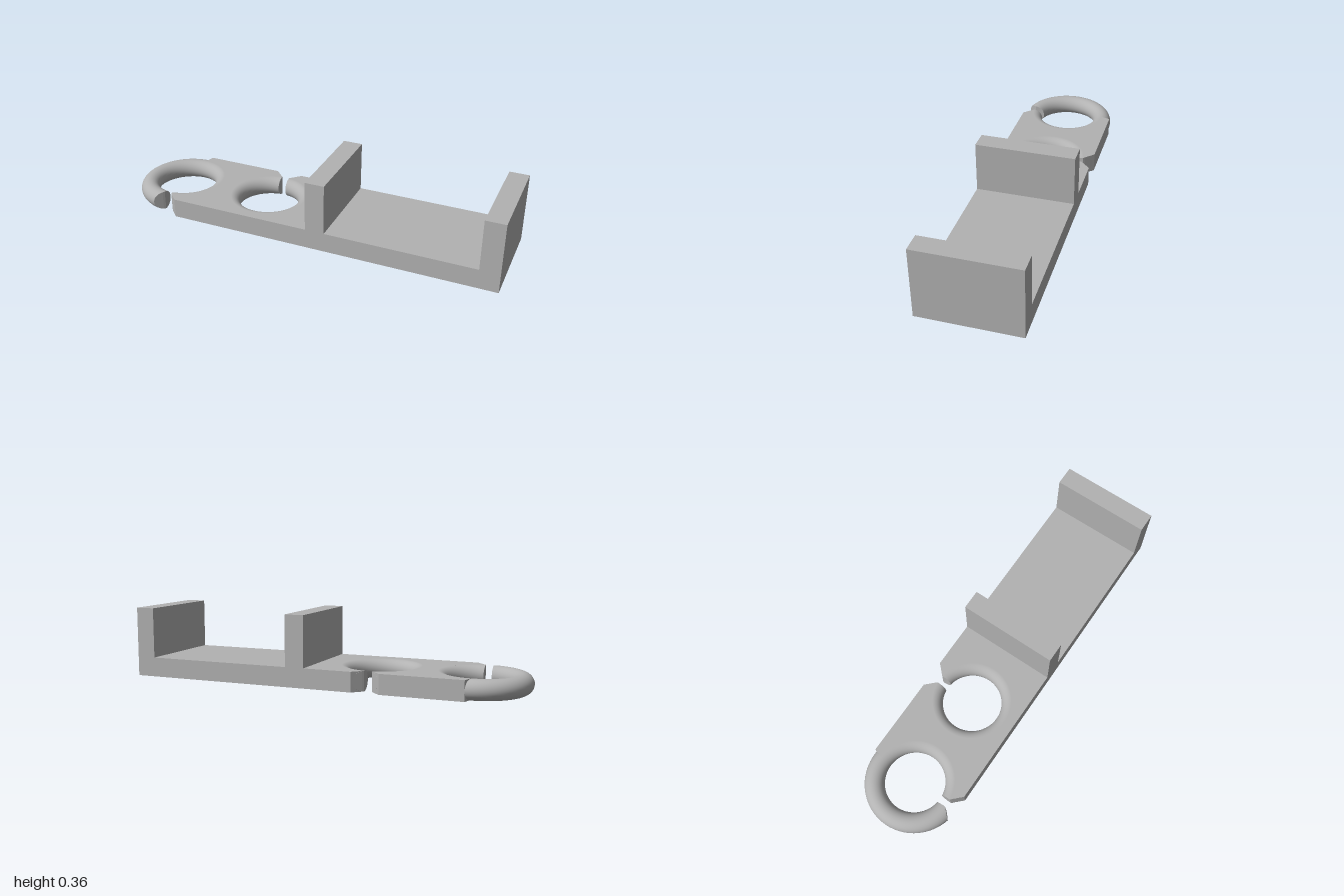
import * as THREE from 'three';

const R = 0.1985, T = 0.0495;           // ring centre-line and tube radius
const H = 2 * T, W = 0.248;             // plate thickness and half width
const RING_X = [-0.752, -0.262];        // ring centres
const GAP = 0.02, FLARE = 0.05;         // half gap, extra half width at the mouth

// Half width of the slot at distance d from the ring centre
const slot = (d) => GAP + Math.max(0, d - R) * FLARE / (W - R);

// Angle at which a circle of radius r meets the slot
function slotAngle(r) {
  let a = 0;
  for (let k = 0; k < 20; k++) a = Math.asin(slot(r * Math.cos(a)) / r);
  return a;
}

// Open ring whose ends follow the flared slot (slot faces +z)
function openRing(material) {
  const nA = 72, nT = 32, pos = [], index = [], caps = [];
  for (let i = 0; i <= nA; i++) {
    for (let j = 0; j < nT; j++) {
      const phi = j / nT * Math.PI * 2, r = R + T * Math.cos(phi);
      const a0 = slotAngle(r), a = a0 + (2 * Math.PI - 2 * a0) * i / nA;
      pos.push(r * Math.sin(a), T + T * Math.sin(phi), r * Math.cos(a));
    }
  }
  const id = (i, j) => i * nT + (j + nT) % nT;
  for (let i = 0; i < nA; i++) {
    for (let j = 0; j < nT; j++) {
      const a = id(i, j), b = id(i + 1, j), c = id(i + 1, j + 1), d = id(i, j + 1);
      index.push(a, b, c, a, c, d);
    }
  }
  const tube = new THREE.BufferGeometry();
  tube.setAttribute('position', new THREE.Float32BufferAttribute(pos, 3));
  tube.setIndex(index);
  tube.computeVertexNormals();

  // End faces: strips joining each upper point to the one below it
  const add = (...ids) => ids.forEach((v) => caps.push(pos[3 * v], pos[3 * v + 1], pos[3 * v + 2]));
  for (let j = 0; j < nT / 2; j++) {
    for (const i of [0, nA]) {
      const t0 = id(i, j), t1 = id(i, j + 1), b0 = id(i, -j), b1 = id(i, -j - 1);
      if (i === 0) add(b1, b0, t0, b1, t0, t1);
      else add(b1, t0, b0, b1, t1, t0);
    }
  }
  const ends = new THREE.BufferGeometry();
  ends.setAttribute('position', new THREE.Float32BufferAttribute(caps, 3));
  ends.computeVertexNormals();

  const ring = new THREE.Group();
  const tubeMesh = new THREE.Mesh(tube, material);
  tubeMesh.name = 'ringTube';
  const endMesh = new THREE.Mesh(ends, material);
  endMesh.name = 'ringEnds';
  ring.add(tubeMesh, endMesh);
  return ring;
}

// Points on a ring centre-line, angle measured from +x towards +z
function arc(cx, from, to, n) {
  return Array.from({ length: n + 1 }, (_, k) => {
    const a = from + (to - from) * k / n;
    return [cx + R * Math.cos(a), R * Math.sin(a)];
  });
}

export function createModel() {
  const grey = new THREE.MeshStandardMaterial({ color: 0xb2b2b2 });
  grey.name = 'plainGrey';
  const model = new THREE.Group();
  model.name = 'clipBracket';

  // Flat plate, cut out along both ring centre-lines
  const [c1, c2] = RING_X, g = slotAngle(R), q = Math.PI / 2, m = GAP + FLARE;
  const outline = [
    [c1 + 0.015, -W], [c2 - m, -W],
    ...arc(c2, -q - g, -5 * q + g, 64),
    [c2 + m, -W], [1, -W], [1, W], [c1 + m, W],
    ...arc(c1, q - g, -q, 32),
  ];
  const shape = new THREE.Shape(outline.map(([x, z]) => new THREE.Vector2(x, -z)));
  const plateGeo = new THREE.ExtrudeGeometry(shape, { depth: H, bevelEnabled: false });
  plateGeo.rotateX(-Math.PI / 2);
  const plate = new THREE.Mesh(plateGeo, grey);
  plate.name = 'plate';
  model.add(plate);

  // Two open rings with opposite slots
  RING_X.forEach((x, k) => {
    const ring = openRing(grey);
    ring.name = k ? 'innerRing' : 'endRing';
    ring.position.x = x;
    ring.rotation.y = k * Math.PI;
    model.add(ring);
  });

  // Upright walls
  [['middleWall', 0.1], ['endWall', 0.951]].forEach(([name, x]) => {
    const wall = new THREE.Mesh(new THREE.BoxGeometry(0.098, 0.355 - H, 2 * W), grey);
    wall.name = name;
    wall.position.set(x, (0.355 + H) / 2, 0);
    model.add(wall);
  });
  return model;
}
